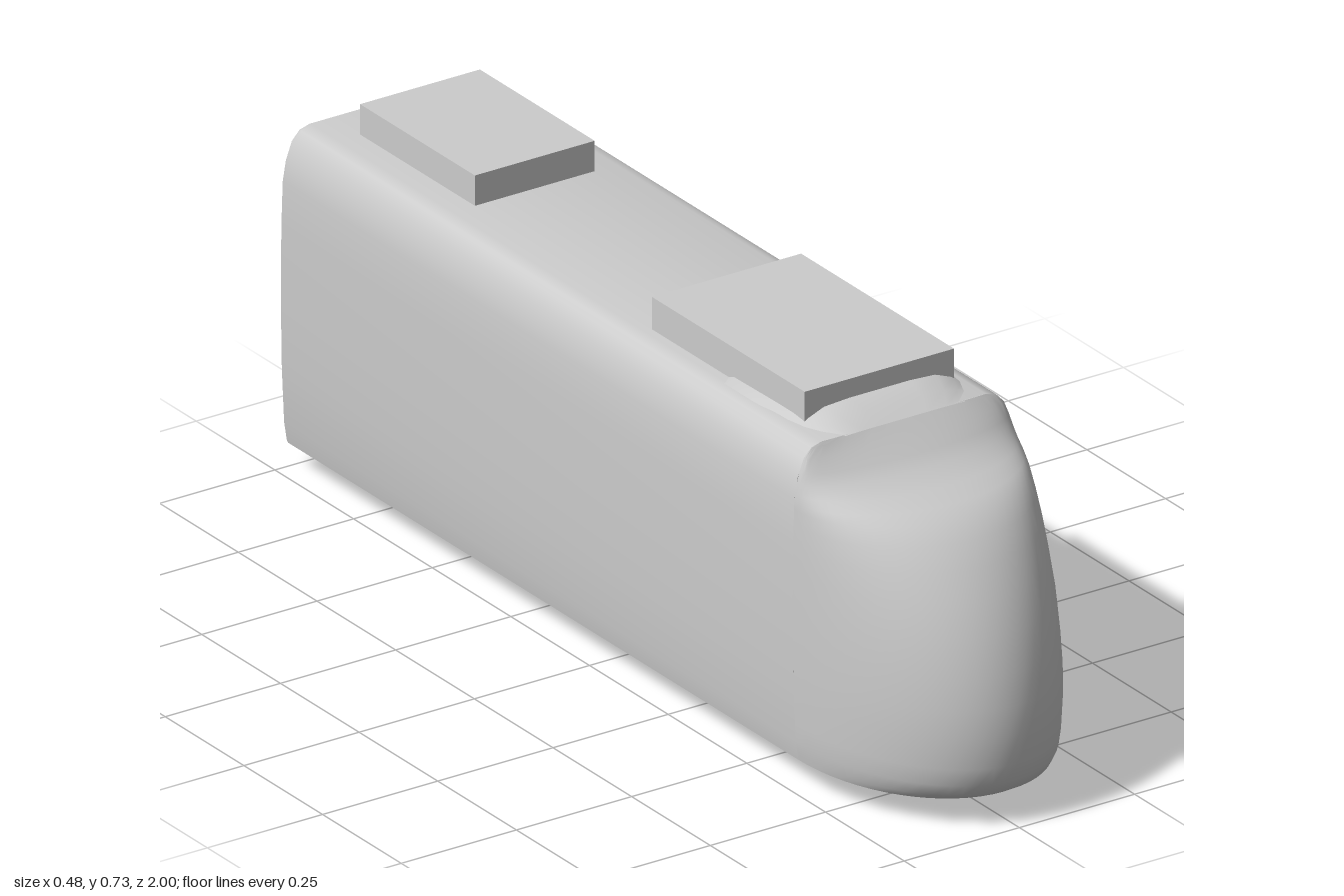
import * as THREE from 'three';
import { toCreasedNormals } from 'three/addons/utils/BufferGeometryUtils.js';

// Joins equal-length rings of [x, y, z] points into a skin, with flat end caps.
function loft(rings, { closed = false, startCap = false, endCap = false, crease = 0.6 } = {}) {
  const n = rings[0].length;
  const index = [];
  for (let j = 0; j < rings.length - 1; j++) {
    for (let i = 0; i < (closed ? n : n - 1); i++) {
      const a = j * n + i, b = j * n + (i + 1) % n;
      index.push(a, a + n, b, b, a + n, b + n);
    }
  }
  const last = (rings.length - 1) * n;
  for (let i = 1; i < n - 1; i++) {
    if (startCap) index.push(0, i, i + 1);
    if (endCap) index.push(last, last + i + 1, last + i);
  }
  const geometry = new THREE.BufferGeometry();
  geometry.setAttribute('position', new THREE.Float32BufferAttribute(rings.flat(2), 3));
  geometry.setIndex(index);
  return toCreasedNormals(geometry, crease);
}

// Half section of the carriage: [half width, height], bottom to roof
const SECTION = [
  [0.228, 0.052], [0.234, 0.09], [0.239, 0.2], [0.241, 0.33], [0.24, 0.48],
  [0.237, 0.57], [0.23, 0.61], [0.217, 0.645], [0.2, 0.663], [0.178, 0.669],
];

function halfWidth(y) {
  for (let i = 1; i < SECTION.length; i++) {
    const [w0, y0] = SECTION[i - 1], [w1, y1] = SECTION[i];
    if (y <= y1) return w0 + (w1 - w0) * (y - y0) / (y1 - y0);
  }
  return SECTION[SECTION.length - 1][0];
}

const NOSE_BASE = 0.632;

// Centre line of the nose: [height, z]
const NOSE = [
  [0.052, 0.95], [0.065, 0.972], [0.09, 0.988], [0.125, 0.996], [0.185, 1], [0.24, 0.996],
  [0.3, 0.984], [0.37, 0.962], [0.43, 0.932], [0.48, 0.9], [0.52, 0.867], [0.55, 0.832],
  [0.565, 0.8], [0.58, 0.757], [0.6, 0.71], [0.62, 0.686], [0.645, 0.66], [0.663, 0.64],
  [0.669, 0.634],
];

export function createModel() {
  const model = new THREE.Group();
  model.name = 'railcar';
  const grey = new THREE.MeshStandardMaterial({ color: 0xcccccc, side: THREE.DoubleSide });
  grey.name = 'light grey';

  const add = (name, geometry, x = 0, y = 0, z = 0) => {
    const mesh = new THREE.Mesh(geometry, grey);
    mesh.name = name;
    mesh.position.set(x, y, z);
    model.add(mesh);
    return mesh;
  };

  // Carriage body, slightly rounded at the rear edge
  const outline = [
    ...SECTION.slice().reverse(),
    ...SECTION.map(([x, y]) => [-x, y]),
  ];
  const bodyRing = (z, inset) => outline.map(([x, y]) => [
    x * (1 - inset / 0.24), 0.36 + (y - 0.36) * (1 - inset / 0.31), z,
  ]);
  add('body', loft(
    [bodyRing(-1, 0.007), bodyRing(-0.997, 0.002), bodyRing(-0.99, 0), bodyRing(NOSE_BASE, 0)],
    { closed: true, startCap: true, endCap: true },
  ));

  // Nose: a stack of half ellipses whose reach follows the centre line
  const steps = 32;
  add('nose', loft(NOSE.map(([y, front]) => Array.from({ length: steps + 1 }, (_, i) => {
    const t = Math.PI * i / steps;
    return [halfWidth(y) * Math.cos(t), y, NOSE_BASE + (front - NOSE_BASE) * Math.sin(t)];
  })), { startCap: true, endCap: true, crease: 0.7 }));

  // Low roof fairing behind the windscreen: [z, half width, height]
  const fairing = [
    [0.3, 0.165, 0.001], [0.33, 0.183, 0.017], [0.42, 0.183, 0.021],
    [0.52, 0.178, 0.027], [0.565, 0.17, 0.028], [0.6, 0.155, 0.018], [0.636, 0.13, 0.001],
  ];
  const profile = [[-1, 0], [-0.9, 0.4], [-0.7, 0.88], [-0.38, 1], [0.38, 1], [0.7, 0.88], [0.9, 0.4], [1, 0]];
  add('roofFairing', loft(fairing.map(([z, w, h]) =>
    profile.map(([u, v]) => [u * w, 0.668 + v * h, z]))));

  // Roof equipment boxes
  add('frontRoofUnit', new THREE.BoxGeometry(0.324, 0.066, 0.486), 0, 0.7, 0.312);
  add('rearRoofUnit', new THREE.BoxGeometry(0.26, 0.062, 0.365), 0, 0.698, -0.7225);

  // Wheels, half hidden by the floor
  const wheel = toCreasedNormals(
    new THREE.CylinderGeometry(0.056, 0.056, 0.02, 12).rotateZ(Math.PI / 2), 0.6);
  for (const side of [1, -1]) {
    for (const z of [-0.038, -0.4]) {
      add(side > 0 ? 'leftWheel' : 'rightWheel', wheel, side * 0.152, 0.056, z);
    }
  }

  return model;
}
